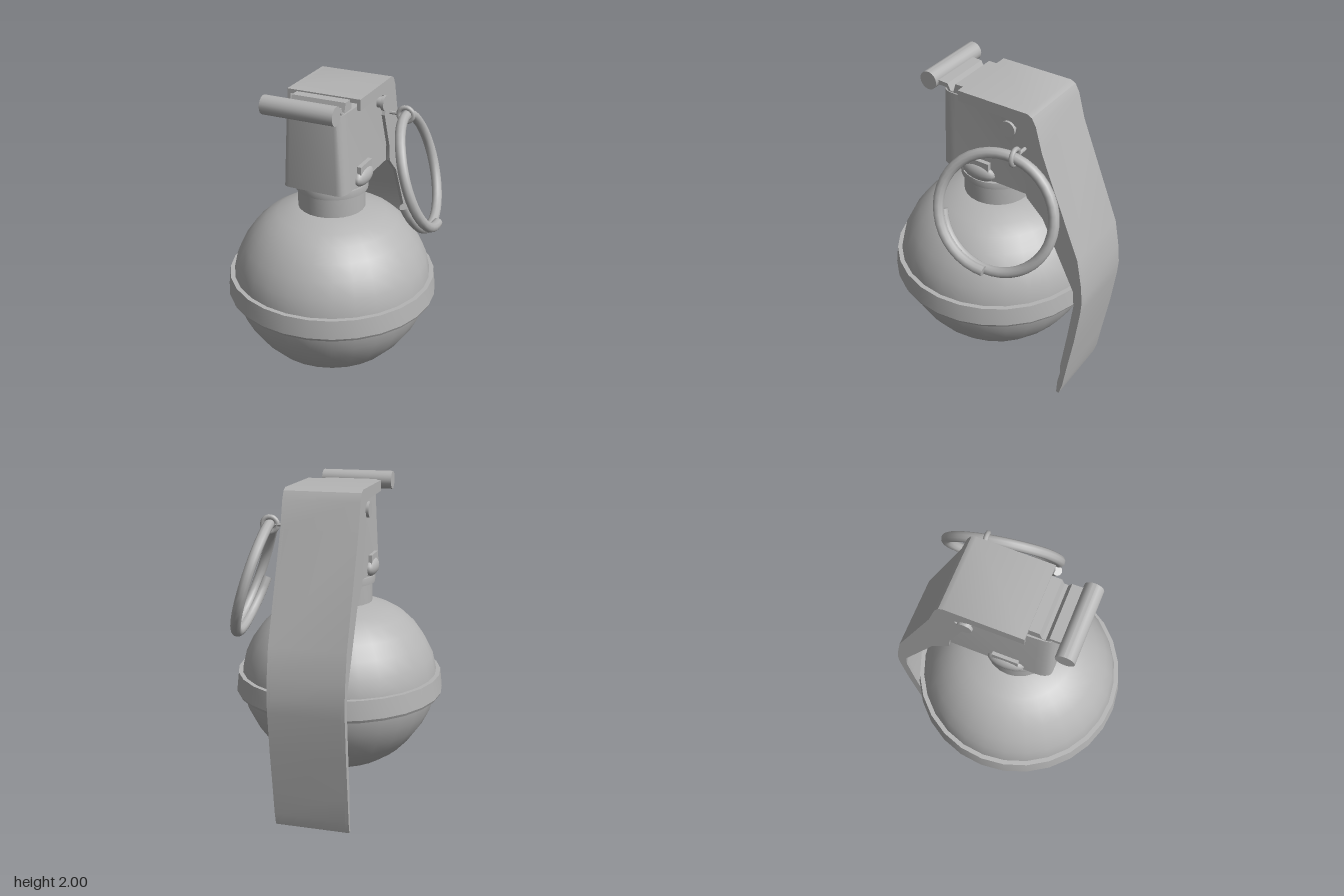
import * as THREE from 'three';
import { toCreasedNormals } from 'three/addons/utils/BufferGeometryUtils.js';

export function createModel() {
  const model = new THREE.Group();
  const grey = new THREE.MeshStandardMaterial({ color: 0xb4b4b4 });
  grey.name = 'plain grey';
  const axisZ = 0.046; // centre line of the round body

  const add = (name, geometry, x = 0, y = 0, z = 0) => {
    const mesh = new THREE.Mesh(geometry, grey);
    mesh.name = name;
    mesh.position.set(x, y, z);
    model.add(mesh);
    return mesh;
  };
  const box = (name, w, h, d, x, y, z) => add(name, new THREE.BoxGeometry(w, h, d), x, y, z);
  const lathe = (name, points, segments = 28) => add(name, toCreasedNormals(
    new THREE.LatheGeometry(points.map(p => new THREE.Vector2(...p)), segments), 0.5), 0, 0, axisZ);
  // Cylinder lying along x
  const rod = (name, r, length, x, y, z, sides = 16) => add(name, toCreasedNormals(
    new THREE.CylinderGeometry(r, r, length, sides).rotateZ(Math.PI / 2), 0.6), x, y, z);
  // Side outline given as [z, y], extruded across x
  const profile = (name, points, x0, x1) => {
    const shape = new THREE.Shape(points.map(([z, y]) => new THREE.Vector2(-z, y)));
    const g = new THREE.ExtrudeGeometry(shape, { depth: x1 - x0, bevelEnabled: false });
    return add(name, toCreasedNormals(g.rotateY(Math.PI / 2), 0.5), x0, 0, 0);
  };

  // Round body with shoulder, neck and collar
  lathe('body', [[0, 0.25], [0.23, 0.25], [0.31, 0.268], [0.4, 0.33], [0.47, 0.405], [0.53, 0.49],
    [0.575, 0.58], [0.603, 0.68], [0.606, 0.75], [0.603, 0.82], [0.58, 0.92], [0.535, 1.01],
    [0.475, 1.095], [0.4, 1.165], [0.33, 1.205], [0.21, 1.25], [0, 1.25]]);
  lathe('bodyBand', [[0.59, 0.683], [0.635, 0.683], [0.643, 0.7], [0.63, 0.815], [0.59, 0.815]]);
  lathe('neck', [[0.202, 1.22], [0.202, 1.44]], 24);
  lathe('collar', [[0.19, 1.37], [0.217, 1.37], [0.219, 1.392], [0.217, 1.413], [0.19, 1.413]], 24);

  // Head block: rounded front corners, narrowing upward at the front
  const plan = new THREE.Shape();
  plan.moveTo(-0.2, 0.3).lineTo(-0.2, -0.21);
  plan.quadraticCurveTo(-0.2, -0.305, -0.15, -0.305);
  plan.lineTo(0.15, -0.305);
  plan.quadraticCurveTo(0.2, -0.305, 0.2, -0.21);
  plan.lineTo(0.2, 0.3);
  const head = new THREE.ExtrudeGeometry(plan, { depth: 0.47, bevelEnabled: false, curveSegments: 5 });
  head.rotateX(-Math.PI / 2);
  const hp = head.attributes.position;
  for (let i = 0; i < hp.count; i++) {
    if (hp.getZ(i) > 0.15) hp.setX(i, hp.getX(i) * (1 - 0.13 * hp.getY(i) / 0.47));
  }
  add('headBlock', toCreasedNormals(head, 0.5), 0, 1.435, 0);

  // Safety lever: bent outer strip and two side flanges
  const outer = [[0.155, 1.97], [-0.295, 1.97], [-0.325, 1.955], [-0.35, 1.91], [-0.395, 1.75],
    [-0.645, 1.13], [-0.677, 0.96], [-0.69, 0.84], [-0.685, 0.75], [-0.655, 0.5], [-0.615, 0.25],
    [-0.59, 0.08], [-0.57, 0.005], [-0.562, 0]];
  const inner = [[-0.55, 0.005], [-0.565, 0.07], [-0.593, 0.25], [-0.635, 0.5], [-0.665, 0.75],
    [-0.67, 0.84], [-0.657, 0.96], [-0.625, 1.13], [-0.375, 1.75], [-0.33, 1.9], [-0.295, 1.945],
    [0.155, 1.945]];
  profile('leverStrip', [...outer, ...inner], -0.226, 0.226);
  const flange = [...outer, [-0.55, 0.005], [-0.555, 0.1], [-0.572, 0.19], [-0.568, 0.24],
    [-0.61, 0.55], [-0.637, 0.78], [-0.63, 0.89], [-0.41, 1.33], [-0.3, 1.435], [-0.29, 1.53],
    [-0.2, 1.76], [-0.24, 1.86], [-0.16, 1.9], [0.155, 1.905]];
  for (const [side, x] of [['left', 0.206], ['right', -0.226]]) {
    profile(side + 'LeverFlange', flange, x, x + 0.02);
  }

  // Cross pin ends, side bolts and tabs
  for (const [side, s] of [['left', 1], ['right', -1]]) {
    rod(side + 'PinShank', 0.032, 0.06, s * 0.2, 1.845, -0.18);
    rod(side + 'PinHead', 0.046, 0.018, s * 0.232, 1.845, -0.18);
    const bolt = add(side + 'Bolt', new THREE.SphereGeometry(1, 16, 10), s * 0.2, 1.47, 0.04);
    bolt.scale.set(0.042, 0.056, 0.11);
    box(side + 'BoltTab', 0.03, 0.07, 0.155, s * 0.205, 1.515, 0.04);
  }

  // Striker roller on a short hinged arm
  rod('strikerRoller', 0.055, 0.44, -0.03, 1.945, 0.385, 18);
  profile('strikerArm', [[0.36, 1.955], [0.27, 1.95], [0.25, 1.91], [0.23, 1.91], [0.215, 1.962],
    [0.14, 1.962], [0.14, 1.89], [0.25, 1.89], [0.28, 1.925], [0.36, 1.925]], -0.165, 0.165);

  // Pull ring: a split ring whose ends overlap at the lower front
  const R = 0.343;
  const normal = new THREE.Vector3(1, 0.35, -0.14).normalize();
  const up = new THREE.Vector3(0, 1, 0).addScaledVector(normal, -normal.y).normalize();
  const front = new THREE.Vector3().crossVectors(normal, up).negate();
  if (front.z < 0) front.negate();
  const points = [];
  for (let i = 0; i <= 34; i++) {
    const a = THREE.MathUtils.degToRad(-12 - 436 * i / 34);
    const offset = -0.04 + 0.05 * Math.min(1, i / 24);
    points.push(new THREE.Vector3(0.45, 1.432, -0.238)
      .addScaledVector(front, R * Math.cos(a)).addScaledVector(up, R * Math.sin(a))
      .addScaledVector(normal, offset));
  }
  const coil = new THREE.CatmullRomCurve3(points);
  add('pullRing', new THREE.TubeGeometry(coil, 48, 0.031, 10));
  for (const t of [0, 1]) {
    const cap = add(t ? 'ringOuterEnd' : 'ringInnerEnd', new THREE.CircleGeometry(0.031, 10));
    cap.position.copy(coil.getPointAt(t));
    const out = coil.getTangentAt(t).multiplyScalar(t ? 1 : -1);
    cap.quaternion.setFromUnitVectors(new THREE.Vector3(0, 0, 1), out);
  }

  // Wire eye joining the ring to the head
  const eye = add('pinEye', new THREE.TorusGeometry(0.044, 0.015, 8, 18), 0.325, 1.752, -0.285);
  eye.rotation.y = 0.1;
  rod('pinWire', 0.011, 0.09, 0.245, 1.752, -0.285, 8);

  return model;
}
